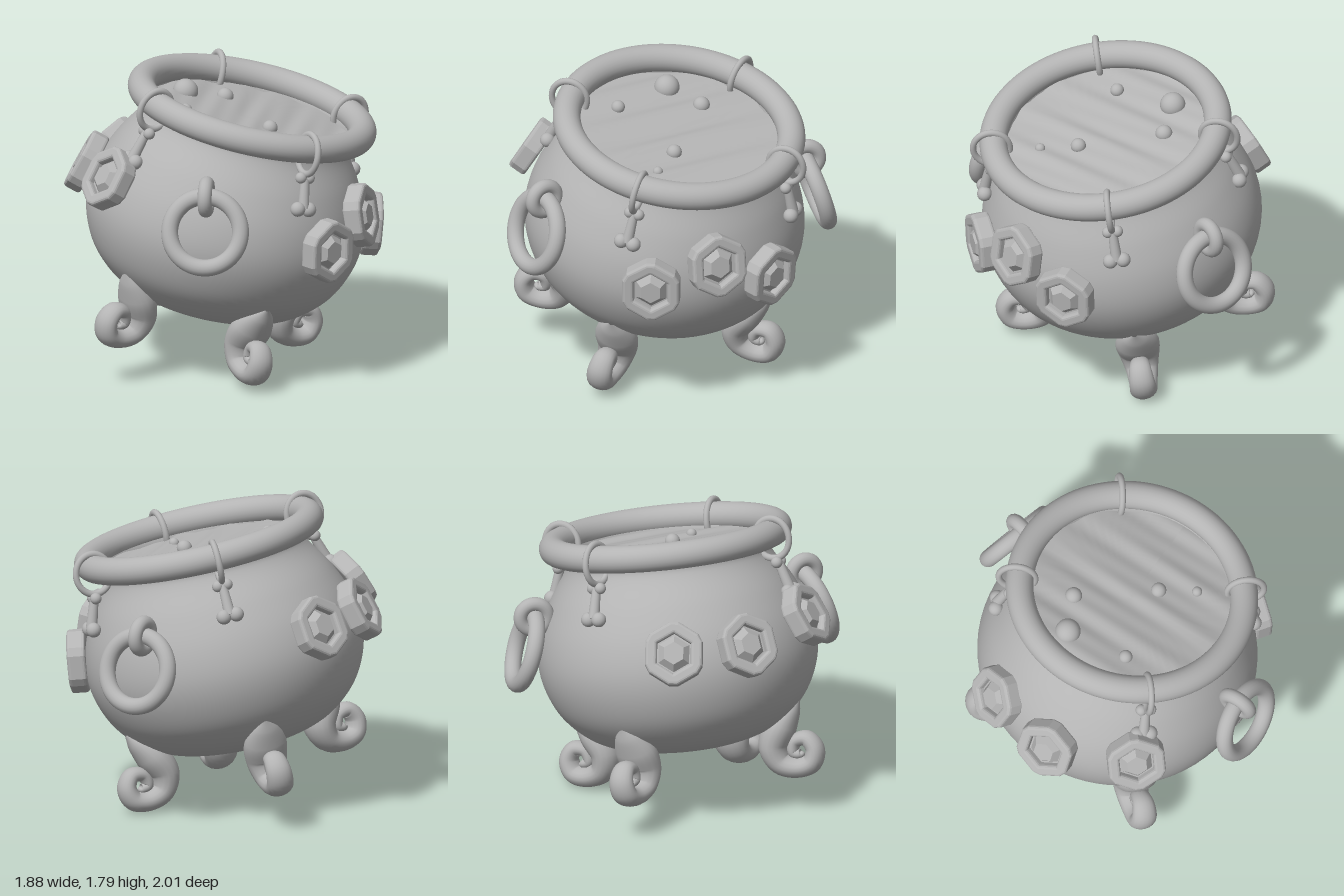
import * as THREE from 'three';

const iron = new THREE.MeshStandardMaterial({ color: 0xb4b4b4, side: THREE.DoubleSide });
iron.name = 'grey iron';

function add(parent, name, geometry, x = 0, y = 0, z = 0) {
  const mesh = new THREE.Mesh(geometry, iron);
  mesh.name = name;
  mesh.position.set(x, y, z);
  parent.add(mesh);
  return mesh;
}

function addGroup(parent, name, x = 0, y = 0, z = 0) {
  const group = new THREE.Group();
  group.name = name;
  group.position.set(x, y, z);
  parent.add(group);
  return group;
}

// group whose x axis points outward at an angle around the pot
function spoke(parent, name, degrees) {
  const group = addGroup(parent, name);
  group.rotation.y = -THREE.MathUtils.degToRad(degrees);
  return group;
}

// flat curl in the xy plane; the third number of each point is the thickness
function curlGeometry(points, widen, steps = 72, sides = 18) {
  const curve = new THREE.CatmullRomCurve3(points.map(p => new THREE.Vector3(...p)));
  const positions = [], index = [];
  for (let i = 0; i <= steps; i++) {
    const p = curve.getPoint(i / steps), t = curve.getTangent(i / steps);
    const length = Math.hypot(t.x, t.y) || 1;
    const nx = -t.y / length, ny = t.x / length;
    for (let j = 0; j < sides; j++) {
      const a = j / sides * Math.PI * 2, c = Math.cos(a) * p.z;
      positions.push(p.x + nx * c, p.y + ny * c, Math.sin(a) * p.z * widen);
      if (i === steps) continue;
      const k = i * sides, next = (j + 1) % sides;
      index.push(k + j, k + next, k + sides + j);
      index.push(k + next, k + sides + next, k + sides + j);
    }
  }
  const geometry = new THREE.BufferGeometry();
  geometry.setAttribute('position', new THREE.Float32BufferAttribute(positions, 3));
  geometry.setIndex(index);
  geometry.computeVertexNormals();
  return geometry;
}

// hexagon with a point at the top and clipped corners
function hexagon(radius, clip) {
  const points = [];
  for (let k = 0; k < 6; k++) {
    for (const side of [-clip, clip]) {
      const a = Math.PI / 2 + k * Math.PI / 3 + side;
      points.push(new THREE.Vector2(Math.cos(a) * radius, Math.sin(a) * radius));
    }
  }
  return points;
}

function gemParts() {
  const shape = new THREE.Shape(hexagon(0.163, 0.13));
  shape.holes.push(new THREE.Path(hexagon(0.132, 0.04)));
  const frame = new THREE.ExtrudeGeometry(shape, {
    depth: 0.07, bevelEnabled: true, bevelThickness: 0.02, bevelSize: 0.018, bevelSegments: 3
  });
  frame.translate(0, 0, -0.05);
  let stone = new THREE.CylinderGeometry(0.065, 0.108, 0.05, 6).toNonIndexed();
  stone.computeVertexNormals();
  stone.rotateX(Math.PI / 2);
  const base = new THREE.CylinderGeometry(0.135, 0.135, 0.05, 6).toNonIndexed();
  base.computeVertexNormals();
  base.rotateX(Math.PI / 2);
  return { frame, stone, base };
}

function addBone(parent) {
  const bone = addGroup(parent, 'boneCharm', 0.735, -0.25, 0);
  bone.rotation.z = 0.32;
  add(bone, 'boneShaft', new THREE.CylinderGeometry(0.026, 0.034, 0.18, 16));
  for (const s of [-1, 1]) {
    add(bone, 'boneLowerKnob', new THREE.SphereGeometry(0.044, 18, 12), 0, -0.095, s * 0.038);
    add(bone, 'boneUpperKnob', new THREE.SphereGeometry(0.034, 18, 12), 0, 0.09, s * 0.028);
  }
}

// hanging ring, with +z pointing away from the pot
function addHandle(parent, name, x, y, z, turn) {
  const handle = addGroup(parent, name, x, y, z);
  handle.rotation.y = turn;
  add(handle, 'handleRing', new THREE.TorusGeometry(0.21, 0.05, 18, 56)).rotation.x = -0.29;
  add(handle, 'handleMount', new THREE.TorusGeometry(0.08, 0.042, 16, 36), 0, 0.2, -0.055).rotation.y = Math.PI / 2;
}

export function createModel() {
  const model = new THREE.Group();
  model.name = 'cauldron';

  // the pot leans sideways; its origin is the centre of the rim
  const pot = addGroup(model, 'pot', 0.16, 1.545, 0);
  pot.rotation.z = -0.2234;

  // bowl
  const profile = new THREE.SplineCurve([
    [0, -1.245], [0.28, -1.235], [0.52, -1.165], [0.69, -1.03], [0.785, -0.87], [0.825, -0.69],
    [0.8, -0.5], [0.72, -0.31], [0.62, -0.15], [0.6, -0.08], [0.62, 0]
  ].map(p => new THREE.Vector2(...p))).getPoints(60);
  profile[0].x = 0;
  add(pot, 'bowl', new THREE.LatheGeometry(profile, 72), -0.012, 0, 0);

  // rim
  add(pot, 'rim', new THREE.TorusGeometry(0.665, 0.082, 24, 96)).rotation.x = Math.PI / 2;

  // rippled brew
  const brew = new THREE.RingGeometry(0.001, 0.62, 72, 28);
  brew.rotateX(-Math.PI / 2);
  const p = brew.attributes.position;
  for (let i = 0; i < p.count; i++) {
    const x = p.getX(i), z = p.getZ(i);
    p.setY(i, 0.007 * Math.sin(24 * x + 1.5 * Math.sin(1.5 * z)) + 0.004 * Math.sin(47 * x + z));
  }
  brew.computeVertexNormals();
  add(pot, 'brew', brew, 0, -0.06, 0);

  // bubbles
  for (const [x, z, r] of [[-0.417, -0.18, 0.075], [-0.19, -0.28, 0.05], [0.136, 0.11, 0.045],
    [-0.366, 0.19, 0.04], [0.26, 0.3, 0.03]]) {
    add(pot, 'bubble', new THREE.SphereGeometry(r, 24, 16), x, -0.055, z);
  }

  // curled legs
  const leg = curlGeometry([
    [0.03, 0.33, 0.012], [-0.02, 0.265, 0.06], [-0.09, 0.17, 0.095], [-0.145, 0.05, 0.09],
    [-0.11, -0.05, 0.073], [-0.01, -0.085, 0.062], [0.075, -0.06, 0.06], [0.1, 0.02, 0.056],
    [0.055, 0.085, 0.048], [-0.015, 0.07, 0.04], [-0.03, 0.005, 0.034], [0.015, -0.005, 0.026],
    [0.02, 0.01, 0.002]
  ], 1.35);
  for (const angle of [131, 55.5, -39, -122]) {
    add(spoke(pot, 'leg', angle), 'curledLeg', leg, 0.67, -1.33, 0);
  }

  // bone charms on wire loops around the rim
  for (const angle of [140, 52, -37.5, -116]) {
    const charm = spoke(pot, 'charm', angle);
    add(charm, 'charmLoop', new THREE.TorusGeometry(0.108, 0.019, 12, 40), 0.68, -0.025, 0).scale.y = 1.1;
    addBone(charm);
  }

  // ring handles
  addHandle(model, 'frontHandle', 0, 1.03, 0.89, 0);
  addHandle(model, 'backHandle', 0.27, 0.96, -0.875, Math.atan2(0.27, -0.88));

  // framed gems, facing along the curve of the bowl
  const { frame, stone, base } = gemParts();
  for (const [x, y, z] of [[-0.63, 1.24, 0.53], [0.69, 0.84, 0.53], [0.84, 0.965, 0.16],
    [0.85, 0.81, -0.21], [-0.83, 1.2, 0.03], [-0.71, 1.18, -0.4]]) {
    const gem = addGroup(model, 'gem', x, y, z);
    gem.lookAt(x + (x + 0.02) / 0.67, y + (y - 0.87) / 0.5, z + z / 0.67);
    gem.scale.y = 1.04;
    add(gem, 'gemFrame', frame);
    add(gem, 'gemBase', base, 0, 0, -0.03);
    add(gem, 'gemStone', stone, 0, 0, 0.015);
  }
  return model;
}
